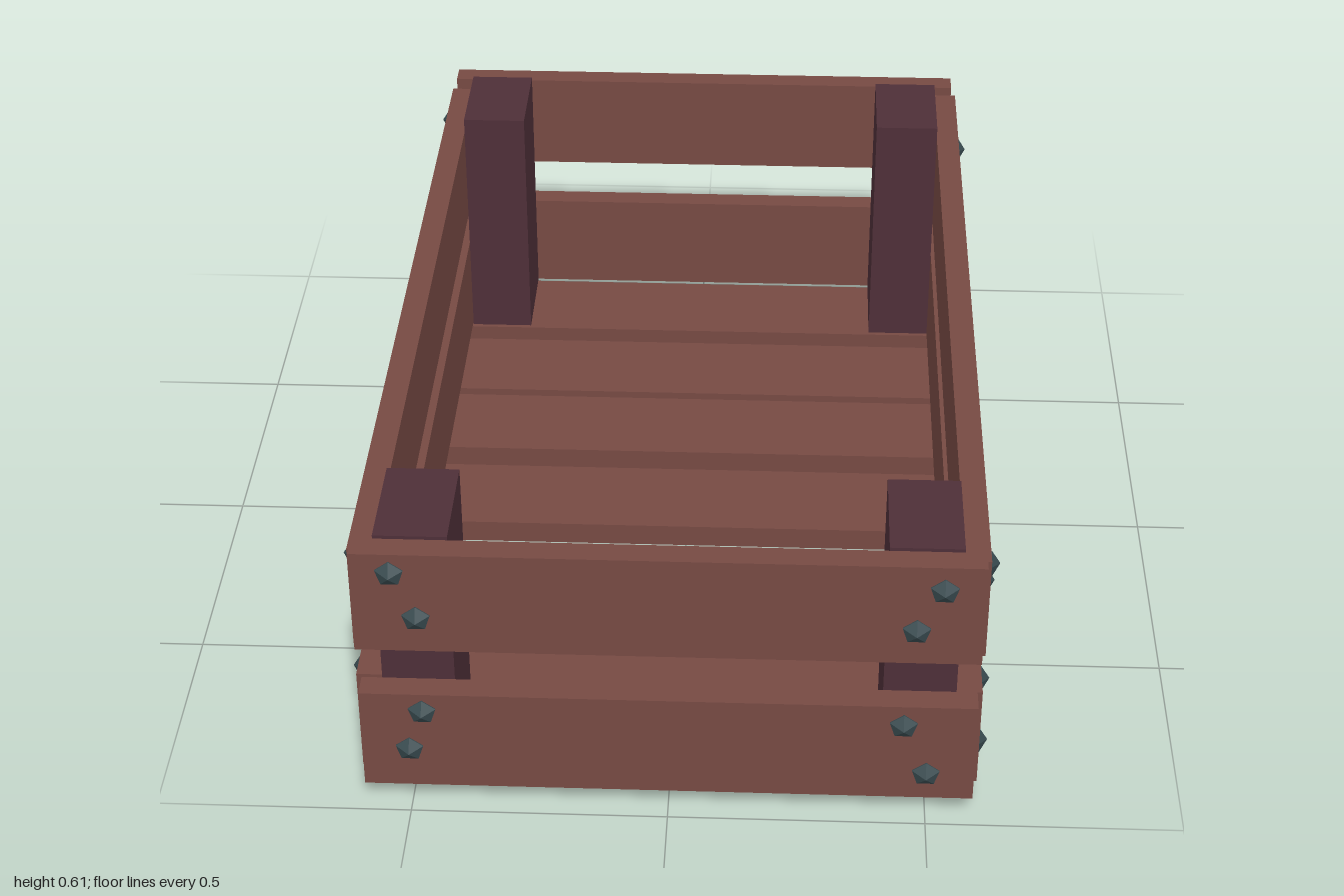
import * as THREE from 'three';

const wood = new THREE.MeshStandardMaterial({ name: 'reddish wood', color: 0x774a43, flatShading: true });
const darkWood = new THREE.MeshStandardMaterial({ name: 'dark post wood', color: 0x4e2f38, flatShading: true });
const iron = new THREE.MeshStandardMaterial({ name: 'iron', color: 0x384a4f, flatShading: true });

// Box given by its minimum and maximum corners
function plank(name, material, min, max) {
  const size = max.map((v, i) => v - min[i]);
  const mesh = new THREE.Mesh(new THREE.BoxGeometry(...size), material);
  mesh.position.set(...min.map((v, i) => (v + max[i]) / 2));
  mesh.name = name;
  return mesh;
}

// Five-sided pointed nail head facing +z, one corner up
const nailGeometry = new THREE.LatheGeometry(
  [[0.025, -0.01], [0.028, 0.003], [0, 0.02]].map(([x, y]) => new THREE.Vector2(x, y)), 5)
  .rotateX(Math.PI / 2).rotateZ(Math.PI);

// A wall of two planks with its nails, built facing +z and then turned into place.
// Nails are [x, y] with x running to the right as seen from outside.
function wall(name, turn, halfWidth, outer, upperY, lowerY, nails) {
  const group = new THREE.Group();
  group.name = name;
  [['upperPlank', upperY], ['lowerPlank', lowerY]].forEach(([part, [y0, y1]]) => {
    group.add(plank(part, wood, [-halfWidth, y0, outer - 0.05], [halfWidth, y1, outer]));
  });
  for (const [x, y] of nails) {
    const nail = new THREE.Mesh(nailGeometry, iron);
    nail.position.set(x, y, outer);
    nail.name = 'nail';
    group.add(nail);
  }
  group.rotation.y = turn;
  return group;
}

export function createModel() {
  const crate = new THREE.Group();
  crate.name = 'crate';

  // Floor slats, unevenly spaced
  [-0.81, -0.535, -0.29, -0.002, 0.308, 0.55, 0.81].forEach((z) => {
    crate.add(plank('floorSlat', wood, [-0.59, 0, z - 0.11], [0.59, 0.05, z + 0.11]));
  });

  // Corner posts
  for (const sx of [-1, 1]) {
    for (const sz of [-1, 1]) {
      const post = plank('cornerPost', darkWood, [-0.07, 0.05, -0.11], [0.07, 0.61, 0.11]);
      post.position.x = sx * 0.48;
      post.position.z = sz * 0.82;
      crate.add(post);
    }
  }

  // End walls
  crate.add(wall('frontWall', 0, 0.59, 0.98, [0.38, 0.603], [0.05, 0.273], [
    [-0.515, 0.56], [-0.47, 0.457], [0.513, 0.55], [0.465, 0.455],
    [-0.47, 0.232], [-0.498, 0.14], [0.45, 0.227], [0.497, 0.11],
  ]));
  crate.add(wall('backWall', Math.PI, 0.59, 0.98, [0.383, 0.603], [0.05, 0.273], [
    [-0.46, 0.55], [-0.5, 0.445], [0.48, 0.55], [0.465, 0.45],
    [-0.48, 0.23], [-0.49, 0.11], [0.5, 0.23], [0.51, 0.11],
  ]));

  // Long side walls
  crate.add(wall('leftWall', Math.PI / 2, 0.93, 0.6, [0.362, 0.583], [0.052, 0.273], [
    [-0.875, 0.54], [-0.787, 0.435], [0.77, 0.525], [0.845, 0.42],
    [-0.825, 0.225], [-0.872, 0.11], [0.885, 0.235], [0.817, 0.113],
  ]));
  crate.add(wall('rightWall', -Math.PI / 2, 0.93, 0.6, [0.355, 0.577], [0.058, 0.28], [
    [-0.87, 0.525], [-0.81, 0.42], [0.85, 0.51], [0.8, 0.425],
    [-0.82, 0.24], [-0.87, 0.15], [0.84, 0.23], [0.81, 0.15],
  ]));

  return crate;
}
